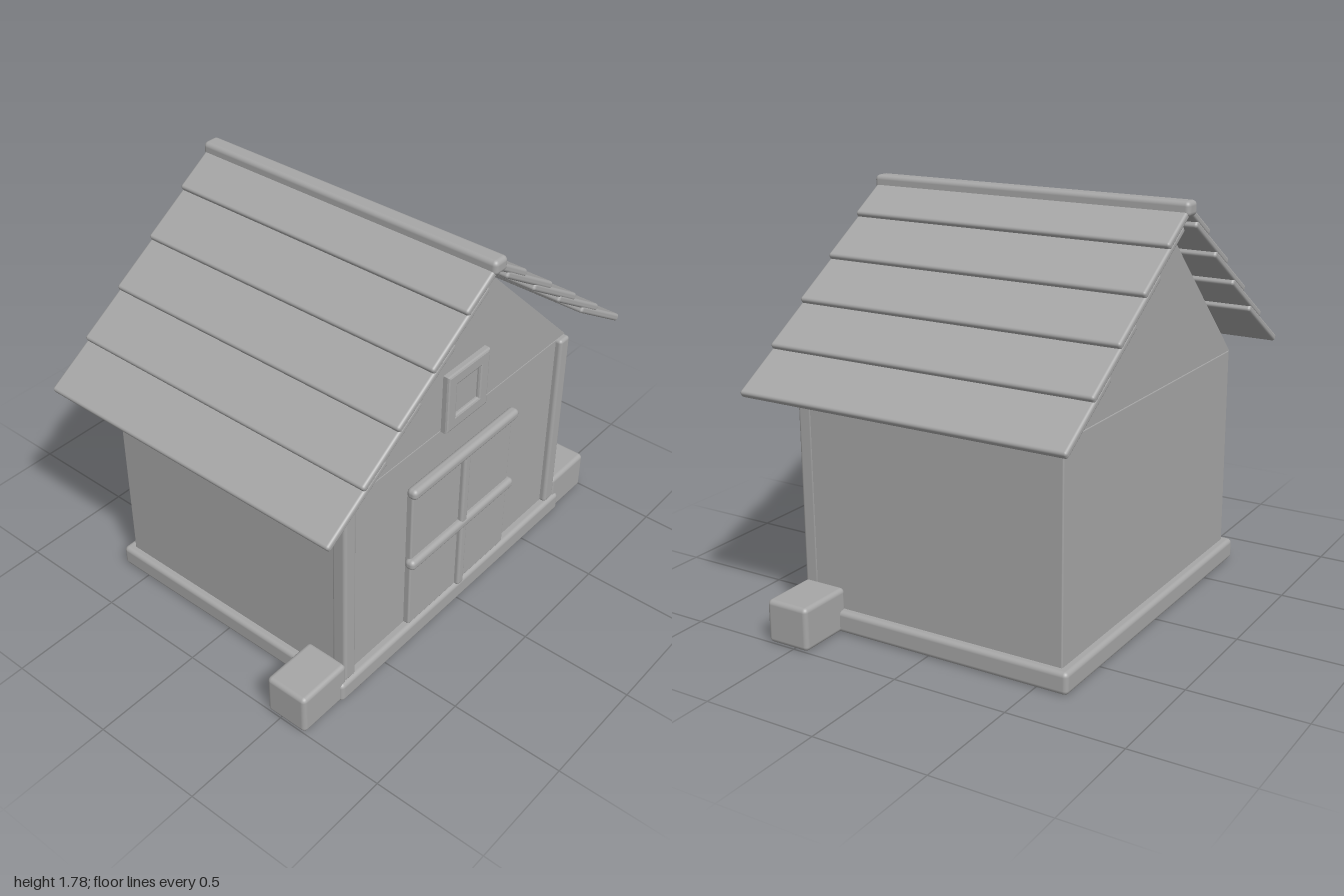
import * as THREE from 'three';
import { RoundedBoxGeometry } from 'three/addons/geometries/RoundedBoxGeometry.js';

export function createModel() {
  const model = new THREE.Group();
  model.name = 'shed';
  const grey = new THREE.MeshStandardMaterial({ color: 0xa6a6a6 });
  grey.name = 'plain grey';

  const add = (name, geometry, parent = model) => {
    const mesh = new THREE.Mesh(geometry, grey);
    mesh.name = name;
    parent.add(mesh);
    return mesh;
  };
  // Rounded box given by its extents on each axis
  const block = (name, [x0, x1], [y0, y1], [z0, z1], radius) => {
    const mesh = add(name, new RoundedBoxGeometry(x1 - x0, y1 - y0, z1 - z0, 3, radius));
    mesh.position.set((x0 + x1) / 2, (y0 + y1) / 2, (z0 + z1) / 2);
    return mesh;
  };

  // Floor slab and walls
  block('floorSlab', [-0.785, 0.785], [0, 0.095], [-0.642, 0.642], 0.02);
  block('walls', [-0.75, 0.75], [0.085, 1.0], [-0.602, 0.602], 0.006);

  // Triangular gables, one facing front and one facing back
  const triangle = new THREE.Shape([
    new THREE.Vector2(-0.75, 1), new THREE.Vector2(0.75, 1), new THREE.Vector2(0, 1.73),
  ]);
  const gableGeometry = new THREE.ShapeGeometry(triangle);
  add('frontGable', gableGeometry).position.z = 0.602;
  const backGable = add('backGable', gableGeometry);
  backGable.position.z = -0.602;
  backGable.rotation.y = Math.PI;

  // Corner posts and the blocks beside them
  for (const side of [-1, 1]) {
    const span = (a, b) => (side > 0 ? [a, b] : [-b, -a]);
    const label = side > 0 ? 'left' : 'right';
    block(label + 'CornerPost', span(0.683, 0.752), [0.09, 1.0], [0.56, 0.63], 0.015);
    block(label + 'Block', span(0.74, 1.0), [0, 0.187], [0.43, 0.63], 0.02);
  }

  // Double door with its bars
  block('doorPanel', [-0.34, 0.34], [0.095, 0.82], [0.58, 0.63], 0.008);
  block('doorCentreBar', [-0.021, 0.021], [0.095, 0.83], [0.61, 0.652], 0.012);
  block('doorTopBar', [-0.357, 0.357], [0.797, 0.846], [0.606, 0.656], 0.02);
  block('doorMiddleBar', [-0.357, 0.357], [0.42, 0.469], [0.606, 0.656], 0.02);

  // Gable window: bevelled frame around a recessed pane
  const bevel = 0.01;
  const square = (h, Type) => new Type([
    new THREE.Vector2(-h, -h), new THREE.Vector2(h, -h),
    new THREE.Vector2(h, h), new THREE.Vector2(-h, h),
  ]);
  const frame = square(0.136 - bevel, THREE.Shape);
  frame.holes.push(square(0.076 + bevel, THREE.Path));
  const frameGeometry = new THREE.ExtrudeGeometry(frame, {
    depth: 0.02, bevelEnabled: true, bevelSize: bevel, bevelThickness: bevel, bevelSegments: 2,
  });
  add('windowFrame', frameGeometry).position.set(0, 1.128, 0.602);
  block('windowPane', [-0.09, 0.09], [1.04, 1.216], [0.6, 0.615], 0.004);

  // Overlapping roof boards, five on each slope
  const tilt = THREE.MathUtils.degToRad(32.5);
  for (const side of [-1, 1]) {
    const slope = new THREE.Group();
    slope.name = side > 0 ? 'leftRoofSlope' : 'rightRoofSlope';
    model.add(slope);
    for (let i = 0; i < 5; i++) {
      const length = i === 4 ? 0.215 : 0.385;
      const board = add('roofBoard', new RoundedBoxGeometry(length, 0.032, 1.472, 3, 0.012), slope);
      const x = 0.967 - 0.195 * i - Math.cos(tilt) * length / 2;
      const y = 1.025 + 0.15 * i + Math.sin(tilt) * length / 2;
      board.position.set(side * x, y, 0);
      board.rotation.z = -side * tilt;
    }
  }

  // Ridge beam
  block('ridgeBeam', [-0.04, 0.04], [1.717, 1.78], [-0.745, 0.745], 0.02);

  return model;
}
